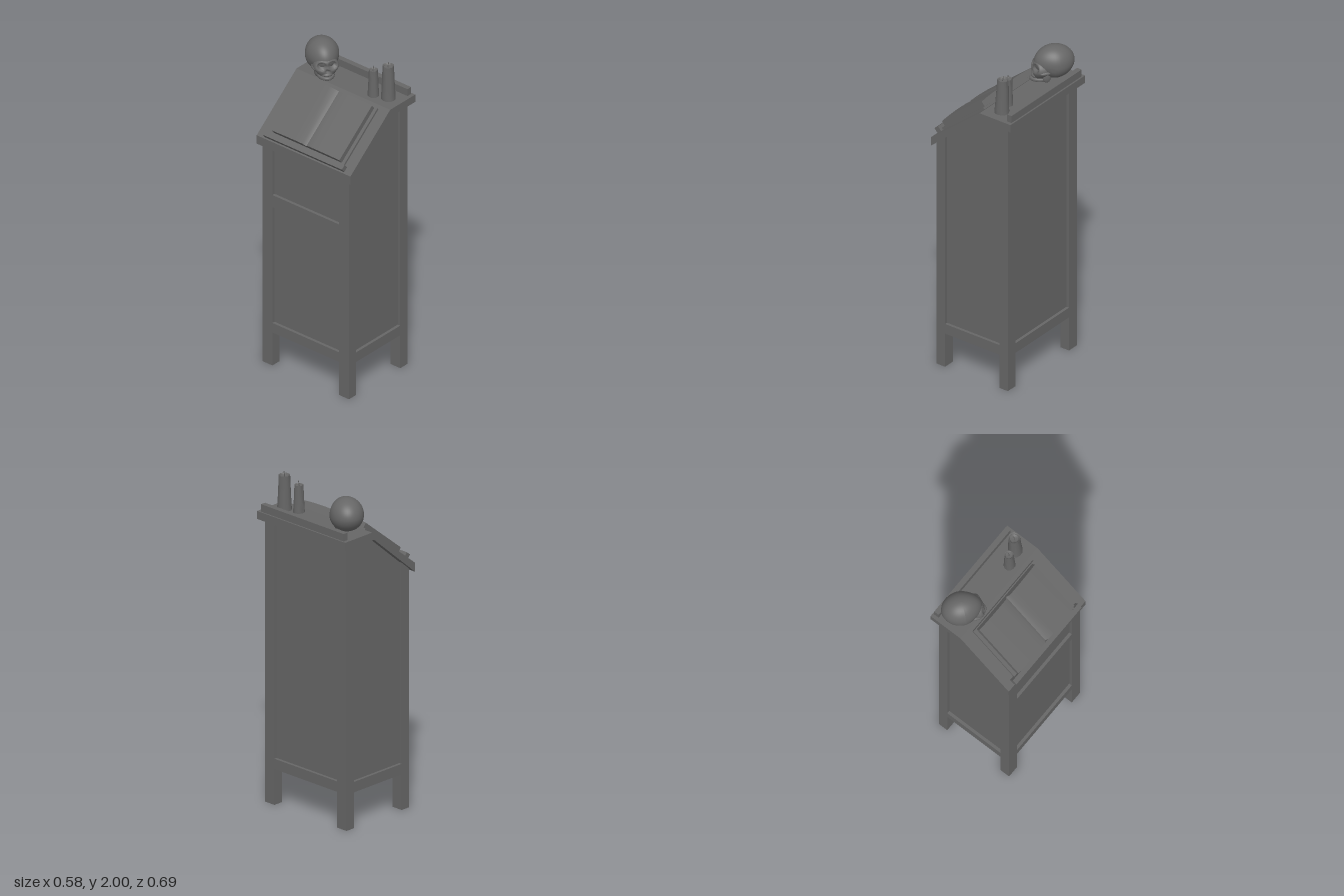
import * as THREE from 'three';
import { toCreasedNormals } from 'three/addons/utils/BufferGeometryUtils.js';

const material = new THREE.MeshStandardMaterial({ color: 0x666666 });
const twoSided = new THREE.MeshStandardMaterial({ color: 0x666666, side: THREE.DoubleSide });

function add(parent, name, geometry, mat = material) {
  const mesh = new THREE.Mesh(geometry, mat);
  mesh.name = name;
  parent.add(mesh);
  return mesh;
}

// Box given by its limits on each axis
function box(parent, name, x0, x1, y0, y1, z0, z1) {
  const mesh = add(parent, name, new THREE.BoxGeometry(x1 - x0, y1 - y0, z1 - z0));
  mesh.position.set((x0 + x1) / 2, (y0 + y1) / 2, (z0 + z1) / 2);
}

// Outline in x/y, extruded from z0 to z1
function slab(parent, name, points, z0, z1) {
  const shape = new THREE.Shape(points.map(([x, y]) => new THREE.Vector2(x, y)));
  const g = new THREE.ExtrudeGeometry(shape, { depth: z1 - z0, bevelEnabled: false });
  g.translate(0, 0, z0);
  add(parent, name, g);
}

// Height of the underside of the top at a given x
const underside = (x) => 1.718 + Math.min(0, x - 0.055) * 0.873;

function buildCabinet() {
  const cabinet = new THREE.Group();
  cabinet.name = 'cabinet';
  const X0 = -0.256, X1 = 0.25, Z = 0.32, lw = 0.061, lz = 0.073, inset = 0.018;
  const xa = X0 + lw, xb = X1 - lw, zi = Z - lz;

  for (const s of [1, -1]) {
    const range = (a, b) => (s > 0 ? [a, b] : [-b, -a]);
    // Corner posts, the low ones cut to the slope
    for (const [a, b] of [[X0, xa], [xb, X1]]) {
      slab(cabinet, 'cornerPost', [[a, 0], [b, 0], [b, underside(b)], [a, underside(a)]], ...range(zi, Z));
    }
    // Side rail and recessed side panel
    box(cabinet, 'sideRail', xa, xb, 0.217, 0.28, ...range(zi, Z));
    slab(cabinet, 'sidePanel', [[xa, 0.27], [xb, 0.27], [xb, 1.718], [0.055, 1.718], [xa, underside(xa)]],
      ...range(Z - inset - 0.02, Z - inset));
  }

  // High end: one panel
  box(cabinet, 'endRail', xb, X1, 0.217, 0.28, -zi, zi);
  box(cabinet, 'endPanel', X1 - inset - 0.02, X1 - inset, 0.27, 1.718, -zi, zi);
  // Low end: two panels split by a cross rail
  box(cabinet, 'endRail', X0, xa, 0.217, 0.28, -zi, zi);
  box(cabinet, 'crossRail', X0, X0 + 0.04, 1.042, 1.122, -zi, zi);
  box(cabinet, 'endPanel', X0 + inset, X0 + inset + 0.02, 0.27, 1.455, -zi, zi);
  return cabinet;
}

function buildTop() {
  const top = new THREE.Group();
  top.name = 'top';
  slab(top, 'slopedTop', [[-0.275, 1.43], [0.055, 1.718], [0.288, 1.718], [0.288, 1.766],
    [0.07, 1.766], [-0.275, 1.485]], -0.347, 0.347);
  box(top, 'backLedge', 0.247, 0.279, 1.76, 1.811, -0.326, 0.324);
  return top;
}

// Book and its stop, built flat (x along the slope, y away from it) and then tilted
function buildBook() {
  const group = new THREE.Group();
  group.name = 'openBook';
  box(group, 'bookStop', -0.436, -0.403, -0.004, 0.033, -0.295, 0.295);
  box(group, 'bookCover', -0.409, -0.024, 0.001, 0.014, -0.267, 0.277);

  // Page block outline across the spread, with a valley at the spine
  const shape = new THREE.Shape();
  const half = 0.251, spine = 0.018;
  shape.moveTo(-half, 0.01);
  shape.lineTo(half, 0.01);
  shape.lineTo(half, 0.046);
  shape.bezierCurveTo(0.17, 0.054, 0.09, 0.056, spine, 0.053);
  shape.lineTo(0, 0.034);
  shape.lineTo(-spine, 0.053);
  shape.bezierCurveTo(-0.09, 0.056, -0.17, 0.054, -half, 0.046);
  const block = new THREE.ExtrudeGeometry(shape, { depth: 0.364, bevelEnabled: false, curveSegments: 5 });
  block.rotateY(-Math.PI / 2);
  block.translate(-0.031, 0, 0.006);
  const pages = toCreasedNormals(block, Math.PI / 3);
  // Soften the shading of the upper surface into the valley
  const n = pages.attributes.normal, v = new THREE.Vector3();
  for (let i = 0; i < n.count; i++) {
    v.fromBufferAttribute(n, i);
    if (v.y < 0.2) continue;
    v.z *= 0.3;
    v.normalize();
    n.setXYZ(i, v.x, v.y, v.z);
  }
  add(group, 'pages', pages);

  group.position.set(0.07, 1.766, 0);
  group.rotation.z = Math.atan2(0.281, 0.345);
  return group;
}

function buildCandle(x, z, radius, height, lean) {
  const candle = new THREE.Group();
  candle.name = 'candle';
  const profile = [[0, 0], [1, 0], [0.97, 0.12], [0.89, 0.4], [0.82, 0.75], [0.77, 1],
    [0.66, 0.985], [0.58, 0.95], [0, 0.93]];
  const wax = new THREE.LatheGeometry(profile.map(([r, y]) => new THREE.Vector2(r * radius, y * height)), 11);
  const p = wax.attributes.position;
  // Uneven, slightly leaning wax
  for (let i = 0; i < p.count; i++) {
    const a = Math.atan2(p.getZ(i), p.getX(i)), k = 1 + 0.04 * Math.sin(3 * a + 1);
    p.setX(i, p.getX(i) * k + lean * p.getY(i));
    p.setZ(i, p.getZ(i) * k - lean * p.getY(i));
  }
  add(candle, 'wax', toCreasedNormals(wax, 0.9), twoSided);
  const wick = add(candle, 'wick', new THREE.CylinderGeometry(0.002, 0.003, 0.034, 5));
  wick.position.set(lean * height, height * 0.95 + 0.016, -lean * height);
  wick.rotation.z = -0.2;
  candle.position.set(x, 1.766, z);
  return candle;
}

// Ellipsoid with its vertices moved by a rule
function blob(parent, name, [x, y, z], [a, b, c], rule) {
  const g = new THREE.SphereGeometry(1, 40, 28);
  const p = g.attributes.position, v = new THREE.Vector3();
  for (let i = 0; i < p.count; i++) {
    v.fromBufferAttribute(p, i);
    if (rule) rule(v);
    p.setXYZ(i, x + v.x * a, y + v.y * b, z + v.z * c);
  }
  g.computeVertexNormals();
  add(parent, name, g);
}

// Skull, facing its own +z
function buildSkull() {
  const skull = new THREE.Group();
  skull.name = 'skull';
  blob(skull, 'cranium', [0, 0.107, 0], [0.097, 0.098, 0.118], (v) => {
    v.x *= 1 - 0.16 * Math.max(0, v.z);                        // narrower forehead
    if (v.y < 0) v.y = -Math.pow(-v.y, 1.15);                  // fuller, flatter base
    if (v.y < 0 && v.z < 0.3) v.x *= 1 - 0.12 * v.y;
  });
  // Face with eye sockets and nose opening pressed in
  const dents = [[-0.42, 0.3, 0.3, 0.5], [0.42, 0.3, 0.3, 0.5], [0, -0.2, 0.17, 0.3]];
  blob(skull, 'face', [0, 0.07, 0.076], [0.075, 0.064, 0.054], (v) => {
    const { x, y } = v;
    if (y < 0) v.x *= 1 + 0.35 * y;
    if (v.z <= 0) return;
    v.z = Math.pow(v.z, 0.6);
    for (const [dx, dy, r, depth] of dents) {
      v.z -= depth * Math.exp(-Math.pow(((x - dx) ** 2 + (y - dy) ** 2) / (r * r), 2));
    }
  });
  for (const s of [1, -1]) {
    blob(skull, 'cheekbone', [s * 0.066, 0.068, 0.07], [0.014, 0.012, 0.036]);
    blob(skull, 'jawSide', [s * 0.05, 0.032, 0.058], [0.011, 0.032, 0.024]);
  }
  blob(skull, 'upperTeeth', [0, 0.034, 0.095], [0.038, 0.018, 0.04]);
  blob(skull, 'jaw', [0, 0.015, 0.09], [0.05, 0.016, 0.054], (v) => {
    v.x *= 1 - 0.2 * v.z;
    v.y = Math.sign(v.y) * Math.pow(Math.abs(v.y), 0.6);
  });
  skull.position.set(0.157, 1.766, -0.23);
  skull.rotation.y = -0.62;
  return skull;
}

export function createModel() {
  const model = new THREE.Group();
  model.name = 'lectern';
  model.add(buildCabinet(), buildTop(), buildBook(), buildSkull());
  model.add(buildCandle(0.16, 0.257, 0.043, 0.211, 0.02));
  model.add(buildCandle(0.132, 0.17, 0.034, 0.166, 0.01));
  return model;
}
